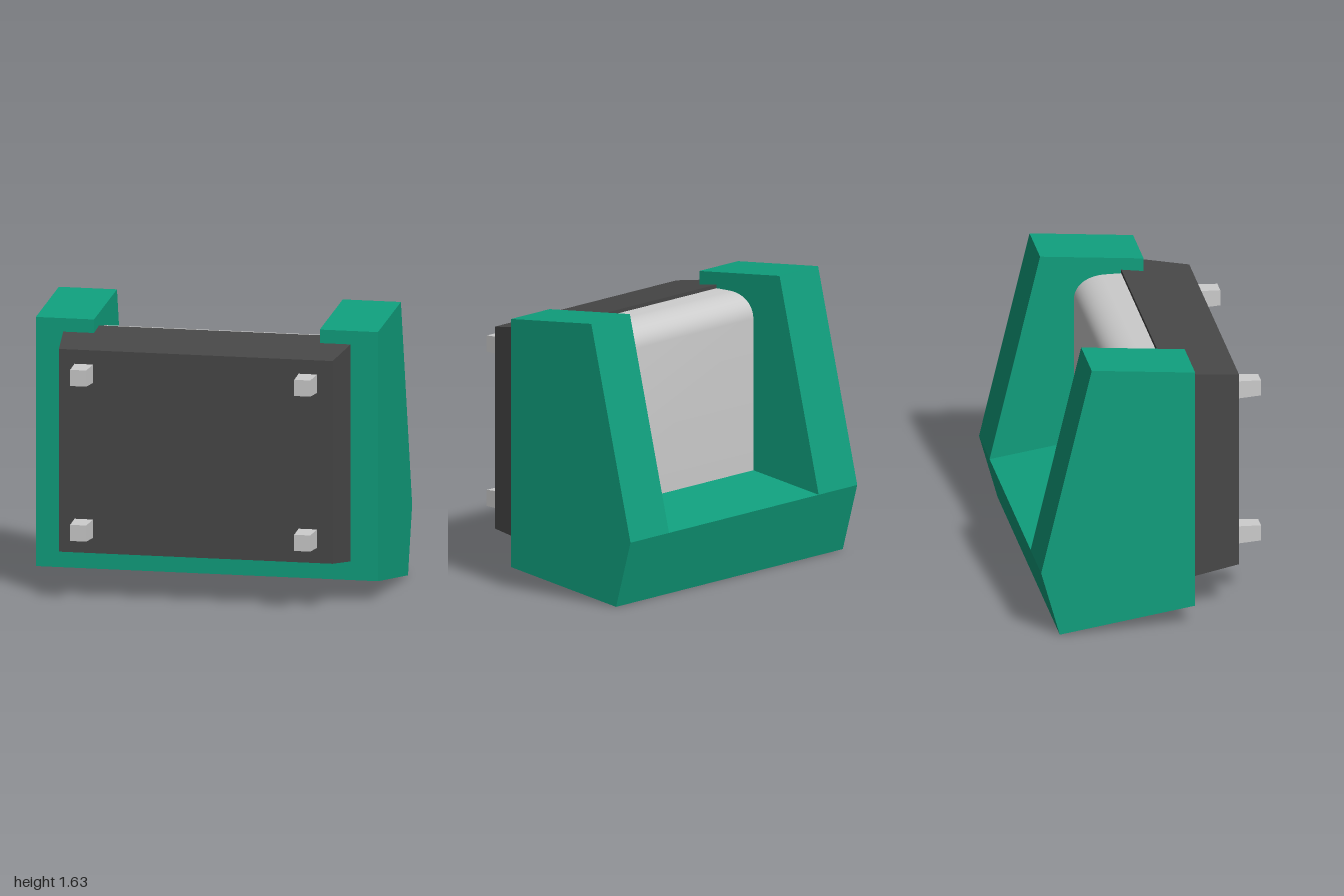
import * as THREE from 'three';
import { toCreasedNormals } from 'three/addons/utils/BufferGeometryUtils.js';

const material = (name, color) => {
  const m = new THREE.MeshStandardMaterial({ color });
  m.name = name;
  return m;
};

// Shape from [z, y] corners; shape x is -z so the extrusion can run along +x
function sideShape(points) {
  return new THREE.Shape(points.map(([z, y]) => new THREE.Vector2(-z, y)));
}

// Extrudes a side profile from x0 to x1
function extrudeAcross(shape, x0, x1) {
  const g = new THREE.ExtrudeGeometry(shape, { depth: x1 - x0, bevelEnabled: false, curveSegments: 10 });
  return g.rotateY(Math.PI / 2).translate(x0, 0, 0);
}

// Box along z whose front end differs in size from its back end
function taperedBox(backW, backH, frontW, frontH, z0, z1) {
  const g = new THREE.BoxGeometry(1, 1, 1);
  const p = g.attributes.position;
  for (let i = 0; i < p.count; i++) {
    const front = p.getZ(i) > 0;
    p.setXYZ(i, p.getX(i) * (front ? frontW : backW), p.getY(i) * (front ? frontH : backH), front ? z1 : z0);
  }
  g.computeVertexNormals();
  return g;
}

export function createModel() {
  const model = new THREE.Group();
  model.name = 'armchair';
  const green = material('green upholstery', 0x10a07e);
  const dark = material('dark base', 0x484848);
  const grey = material('light grey', 0xcccccc);

  const add = (name, geometry, mat, x = 0, y = 0) => {
    const mesh = new THREE.Mesh(geometry, mat);
    mesh.name = name;
    mesh.position.set(x, y, 0);
    model.add(mesh);
  };

  // Armrests
  const armShape = sideShape([[0.23, 0.12], [0.23, 1.57], [-0.37, 1.627], [-0.663, 0.39], [-0.555, 0]]);
  add('leftArm', extrudeAcross(armShape, 0.66, 1), green);
  add('rightArm', extrudeAcross(armShape, -1, -0.66), green);

  // Backrest between the arms
  const backShape = sideShape([[0.23, 0.12], [0.23, 0.525], [-0.663, 0.39], [-0.555, 0]]);
  add('backrest', extrudeAcross(backShape, -0.66, 0.66), green);

  // Seat cushion with one rounded edge
  const cushion = new THREE.Shape();
  cushion.moveTo(-0.2, 0.42);
  cushion.lineTo(0.175, 0.42);
  cushion.lineTo(0.175, 1.35);
  cushion.bezierCurveTo(0.17, 1.43, 0.11, 1.48, 0.01, 1.488);
  cushion.lineTo(-0.2, 1.488);
  cushion.closePath();
  add('seatCushion', toCreasedNormals(extrudeAcross(cushion, -0.66, 0.66), 0.6), grey);

  // Tapered underside
  add('base', taperedBox(1.716, 1.3, 1.6, 1.18, 0.1, 0.52), dark, 0, 0.86);

  // Feet
  for (const x of [-0.655, 0.655]) {
    for (const y of [0.412, 1.314]) {
      add('foot', taperedBox(0.108, 0.108, 0.094, 0.094, 0.515, 0.665), grey, x, y);
    }
  }
  return model;
}
